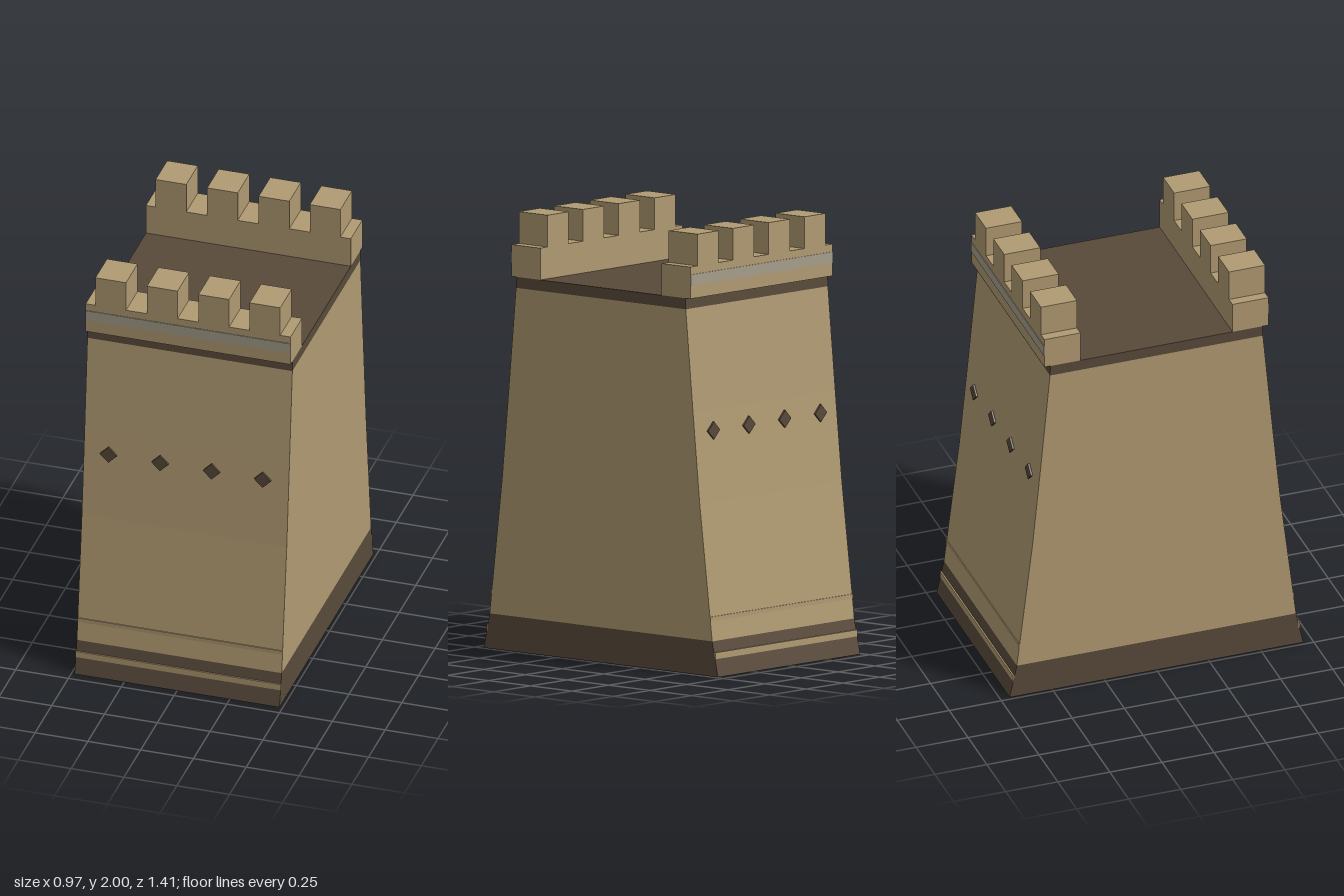
import * as THREE from 'three';

const material = (name, color) => {
  const m = new THREE.MeshStandardMaterial({ color });
  m.name = name;
  return m;
};

export function createModel() {
  const group = new THREE.Group();
  group.name = 'towerSection';
  const stone = material('sandStone', 0xb09a72);
  const dark = material('darkStone', 0x594a3a);
  const grey = material('greyStone', 0xa69e8b);
  const W = 0.97;

  const add = (name, geometry, mat, x = 0, y = 0, z = 0) => {
    const mesh = new THREE.Mesh(geometry, mat);
    mesh.name = name;
    mesh.position.set(x, y, z);
    group.add(mesh);
    return mesh;
  };
  const box = (name, mat, w, y0, y1, z0, z1, x = 0) =>
    add(name, new THREE.BoxGeometry(w, y1 - y0, z1 - z0), mat, x, (y0 + y1) / 2, (z0 + z1) / 2);

  // Symmetric side profile [half depth, height], extruded across the width
  const wall = (name, mat, profile) => {
    const shape = new THREE.Shape();
    const points = [...profile, ...profile.map(([z, y]) => [-z, y]).reverse()];
    shape.setFromPoints(points.map(([z, y]) => new THREE.Vector2(z, y)));
    const g = new THREE.ExtrudeGeometry(shape, { depth: W, bevelEnabled: false });
    g.translate(0, 0, -W / 2).rotateY(-Math.PI / 2);
    add(name, g, mat);
  };
  wall('base', dark, [[0.705, 0], [0.67, 0.16]]);
  wall('body', stone, [[0.67, 0.16], [0.635, 0.45], [0.595, 0.78], [0.555, 1.19], [0.511, 1.66]]);
  wall('roofSlab', dark, [[0.511, 1.66], [0.509, 1.71]]);

  // Both long faces carry the same parapet, bands and openings
  const centres = [-0.3665, -0.1225, 0.1215, 0.3635];
  for (const s of [1, -1]) {
    const strip = (name, mat, w, y0, y1, a, b, x) =>
      box(name, mat, w, y0, y1, Math.min(s * a, s * b), Math.max(s * a, s * b), x);
    strip('parapet', stone, W, 1.71, 1.855, 0.365, 0.538);
    strip('parapetBand', grey, W, 1.77, 1.82, 0.536, 0.541);
    strip('baseBand', stone, W, 0.08, 0.11, 0.682, 0.689);
    strip('lowerLedge', stone, W, 0.25, 0.27, 0.655, 0.661);
    for (const x of centres) {
      strip('merlon', stone, 0.145, 1.855, 2, 0.365, 0.538, x);
      // Diamond shaped opening
      const d = strip('diamondOpening', dark, 0.057, 1.0715, 1.1285, 0.566, 0.575, x);
      d.rotation.z = Math.PI / 4;
    }
  }
  return group;
}
